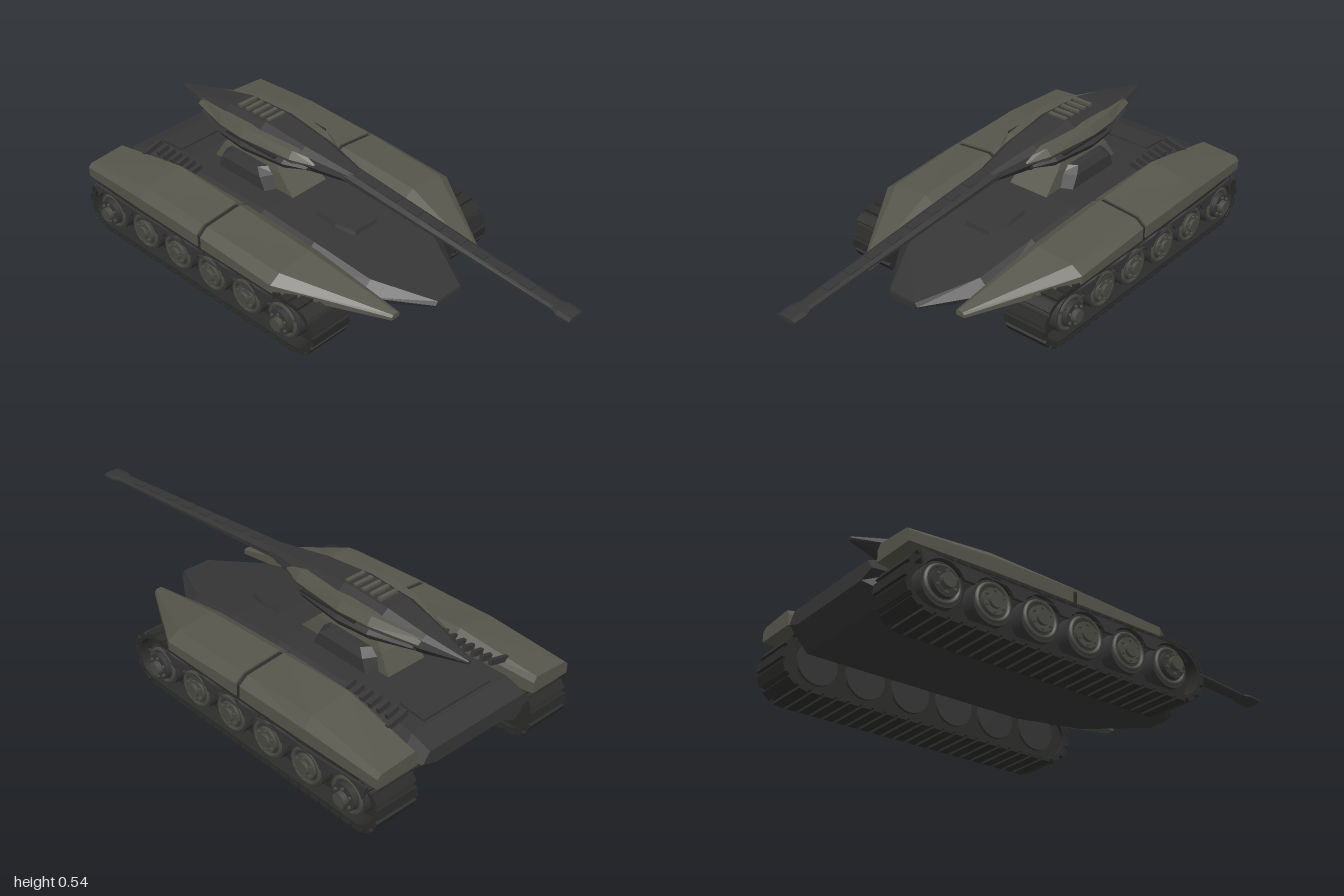
import * as THREE from 'three';

const mat = (name, color) => {
  const m = new THREE.MeshStandardMaterial({ color });
  m.name = name;
  return m;
};

export function createModel() {
  const tank = new THREE.Group();
  tank.name = 'tank';
  const olive = mat('olive armour', 0x57564c);
  const dark = mat('dark armour', 0x363636);
  const rubber = mat('track metal', 0x2c2c2b);
  const steel = mat('wheel grey', 0x4a4a44);

  const add = (name, geo, material, parent = tank) => {
    const mesh = new THREE.Mesh(geo, material);
    mesh.name = name;
    parent.add(mesh);
    return mesh;
  };
  const box = (name, size, pos, material, parent = tank) => {
    const m = add(name, new THREE.BoxGeometry(...size), material, parent);
    m.position.set(...pos);
    return m;
  };

  // Flat-shaded solid through closed rings of [x, y, z]; faces turned outwards
  const loft = (rings) => {
    const tris = [], n = rings[0].length;
    for (let i = 0; i < rings.length - 1; i++) {
      for (let j = 0; j < n; j++) {
        const k = (j + 1) % n, a = rings[i], b = rings[i + 1];
        tris.push([a[j], a[k], b[k]], [a[j], b[k], b[j]]);
      }
    }
    const last = rings[rings.length - 1];
    for (let j = 1; j < n - 1; j++) {
      tris.push([rings[0][0], rings[0][j + 1], rings[0][j]], [last[0], last[j], last[j + 1]]);
    }
    const o = new THREE.Vector3(...rings[0][0]);
    const v = (p) => new THREE.Vector3(...p).sub(o);
    const volume = tris.reduce((s, [a, b, c]) => s + v(a).dot(v(b).cross(v(c))), 0);
    if (volume < 0) tris.forEach((t) => t.reverse());
    const geo = new THREE.BufferGeometry();
    geo.setAttribute('position', new THREE.Float32BufferAttribute(tris.flat(2), 3));
    geo.computeVertexNormals();
    return geo;
  };
  // Symmetric ring from the points of its +x half
  const mirrored = (z, half) => [
    ...half.map(([x, y]) => [x, y, z]),
    ...half.slice().reverse().map(([x, y]) => [-x, y, z]),
  ];

  // Hull
  add('hull', loft([
    mirrored(0.47, [[0.05, 0.145], [0.07, 0.16], [0.06, 0.175]]),
    mirrored(0.25, [[0.2, 0.13], [0.22, 0.165], [0.17, 0.215]]),
    mirrored(0, [[0.27, 0.13], [0.28, 0.205], [0.2, 0.265]]),
    mirrored(-0.25, [[0.27, 0.13], [0.28, 0.225], [0.21, 0.29]]),
    mirrored(-0.7, [[0.27, 0.13], [0.28, 0.225], [0.21, 0.29]]),
    mirrored(-0.9, [[0.27, 0.13], [0.28, 0.205], [0.23, 0.275]]),
    mirrored(-0.98, [[0.2, 0.19], [0.26, 0.21], [0.23, 0.25]]),
  ]), dark);
  const hatchRing = (y, s) => [[-0.09, -0.11], [0.09, -0.11], [0.09, -0.01], [0.06, 0.07], [-0.06, 0.07], [-0.09, -0.01]]
    .map(([x, z]) => [x * s, y - z * 0.14, z * s]);
  add('frontHatch', loft([hatchRing(0.255, 1), hatchRing(0.277, 0.9)]), dark);
  const rearPanel = box('rearDeckPanel', [0.32, 0.01, 0.11], [0, 0.284, -0.83], dark);
  rearPanel.rotation.x = -0.08;
  box('noseLip', [0.11, 0.022, 0.02], [0, 0.158, 0.462], dark);

  // Turret body and its pointed tail
  const turretRing = (z, w, yb, yt) => {
    const h = yt - yb;
    return mirrored(z, [[0.6 * w, yb], [w, yb + h * 0.45], [0.85 * w, yt - h * 0.2], [0.5 * w, yt]]);
  };
  const turret = new THREE.Group();
  turret.name = 'turret';
  tank.add(turret);
  add('turretBody', loft([
    turretRing(0.02, 0.036, 0.438, 0.478), turretRing(-0.2, 0.085, 0.415, 0.51),
    turretRing(-0.4, 0.1, 0.405, 0.53), turretRing(-0.6, 0.095, 0.405, 0.523),
    turretRing(-0.76, 0.065, 0.42, 0.493), turretRing(-0.92, 0.008, 0.446, 0.459),
  ]), dark, turret);
  for (let i = 0; i < 5; i++) {
    box('roofLouver', [0.08, 0.012, 0.015], [0, 0.53, -0.4 - i * 0.038], olive, turret);
  }
  for (let i = 0; i < 5; i++) {
    box('frontLouver', [0.08, 0.008, 0.02], [0, 0.408 + i * 0.011, -0.2 + i * 0.012], dark, turret);
  }
  // Pedestal tapering up to the turret
  const rect = (y, x, z0, z1) => [[x, y, z0], [x, y, z1], [-x, y, z1], [-x, y, z0]];
  add('turretPedestal', loft([
    rect(0.28, 0.088, -0.22, -0.66), rect(0.36, 0.08, -0.3, -0.61), rect(0.415, 0.065, -0.36, -0.56),
  ]), olive, turret);

  // Barrel with raised sleeve blocks and muzzle
  const barrelY = (z) => 0.457 - 0.084 * z;
  const barrelRing = (z, w, h) => mirrored(z, [[w * 0.6, barrelY(z) - h], [w, barrelY(z) - h * 0.4],
    [w, barrelY(z) + h * 0.4], [w * 0.6, barrelY(z) + h]]);
  add('barrel', loft([barrelRing(-0.05, 0.04, 0.022), barrelRing(0.35, 0.036, 0.015), barrelRing(0.95, 0.028, 0.007)]), dark, turret);
  add('muzzle', loft([barrelRing(0.92, 0.03, 0.007), barrelRing(0.945, 0.04, 0.009), barrelRing(1, 0.038, 0.009)]), dark, turret);
  for (let i = 0; i < 8; i++) {
    const z = 0.1 + i * 0.1;
    const b = box('barrelBlock', [0.036, 0.008, 0.05], [0, barrelY(z) + 0.0195 - z * 0.0135, z], dark, turret);
    b.rotation.x = 0.09;
  }

  // Fender rings: inner bottom, inner top, peak, outer top, outer middle, outer bottom
  const fender = {
    tip: [0.42, [[0.205, 0.168], [0.205, 0.185], [0.215, 0.19], [0.235, 0.188], [0.242, 0.18], [0.242, 0.168]]],
    front: [0.05, [[0.225, 0.2], [0.228, 0.265], [0.27, 0.288], [0.42, 0.275], [0.465, 0.245], [0.465, 0.212]]],
    seamA: [-0.315, [[0.23, 0.21], [0.235, 0.29], [0.27, 0.308], [0.43, 0.293], [0.467, 0.265], [0.467, 0.215]]],
    seamB: [-0.335, [[0.23, 0.21], [0.235, 0.29], [0.27, 0.308], [0.43, 0.293], [0.467, 0.265], [0.467, 0.215]]],
    back: [-0.65, [[0.23, 0.21], [0.235, 0.292], [0.27, 0.325], [0.43, 0.305], [0.467, 0.27], [0.467, 0.218]]],
    tail: [-0.975, [[0.28, 0.22], [0.28, 0.262], [0.295, 0.282], [0.445, 0.272], [0.46, 0.258], [0.46, 0.22]]],
  };
  const wheelZ = [0.1, -0.09, -0.277, -0.465, -0.653, -0.845];

  // Scalloped strip hanging over the wheels, drawn along -z
  const skirtShape = new THREE.Shape();
  skirtShape.moveTo(-0.19, 0.206);
  wheelZ.forEach((z) => skirtShape.absarc(-z, 0.112, 0.084, Math.PI * 0.85, Math.PI * 0.15, true));
  skirtShape.lineTo(0.935, 0.206);
  const skirtGeo = new THREE.ExtrudeGeometry(skirtShape, { depth: 0.012, bevelEnabled: false, curveSegments: 8 });
  skirtGeo.rotateY(Math.PI / 2);

  // Closed track loop, drawn along -z
  const midZ = -0.365, halfRun = 0.51, axleY = 0.11;
  const stadium = (r, Type) => {
    const p = new Type();
    p.absarc(-midZ + halfRun, axleY, r, -Math.PI / 2, Math.PI / 2, false);
    p.absarc(-midZ - halfRun, axleY, r, Math.PI / 2, Math.PI * 1.5, false);
    p.closePath();
    return p;
  };
  const beltShape = stadium(0.1, THREE.Shape);
  beltShape.holes.push(stadium(0.086, THREE.Path));
  const extrudeX = (shape, depth) => new THREE.ExtrudeGeometry(shape, { depth, bevelEnabled: false, curveSegments: 12 })
    .rotateY(Math.PI / 2);
  const beltGeo = extrudeX(beltShape, 0.174);
  const coreGeo = extrudeX(stadium(0.087, THREE.Shape), 0.1);
  const disc = (r, d, sides = 20) => new THREE.CylinderGeometry(r, r, d, sides).rotateZ(Math.PI / 2);
  const rimGeo = new THREE.TorusGeometry(0.062, 0.008, 6, 24).rotateY(Math.PI / 2);

  for (const s of [1, -1]) {
    const side = s > 0 ? 'left' : 'right';
    const flip = (rings) => loft(rings.map((r) => r.map(([x, y, z]) => [x * s, y, z])));
    const ring = ([z, pts], drop = 0) => pts.map(([x, y]) => [x - drop * Math.sign(x - 0.35), y - drop, z]);
    add(side + 'FrontFender', flip([ring(fender.tip), ring(fender.front), ring(fender.seamA)]), olive);
    add(side + 'RearFender', flip([ring(fender.seamB), ring(fender.back), ring(fender.tail)]), olive);
    add(side + 'FenderSeam', flip([ring(fender.seamA, 0.006), ring(fender.seamB, 0.006)]), rubber);

    // Cooling fins beside the rear deck
    for (let i = 0; i < 7; i++) {
      const w = i === 0 ? 0.09 : 0.052;
      const fin = box(side + 'CoolingFin', [w, 0.022, 0.014], [s * (0.2 + w / 2), 0.305, -0.845 + i * 0.039], dark);
      fin.rotation.z = -s * 0.25;
    }

    // Turret side pods, belly cheeks and pedestal lobes
    const podRing = (z, x0, x1, y0, y1) => [[x0, y0, z], [x1 - 0.015, y0, z], [x1, (y0 + y1) / 2, z],
      [x1 - 0.02, y1, z], [x0, y1, z]];
    add(side + 'TurretPod', flip([
      podRing(-0.13, 0.04, 0.07, 0.456, 0.48), podRing(-0.22, 0.06, 0.11, 0.447, 0.502),
      podRing(-0.45, 0.07, 0.135, 0.445, 0.51), podRing(-0.58, 0.07, 0.122, 0.445, 0.506),
      podRing(-0.76, 0.04, 0.07, 0.45, 0.482),
    ]), olive, turret);
    add(side + 'TurretCheek', flip([
      podRing(-0.16, 0.04, 0.08, 0.435, 0.455), podRing(-0.25, 0.05, 0.118, 0.422, 0.468),
      podRing(-0.45, 0.05, 0.139, 0.418, 0.47), podRing(-0.58, 0.05, 0.126, 0.42, 0.468),
      podRing(-0.74, 0.04, 0.075, 0.432, 0.46),
    ]), dark, turret);
    box(side + 'PodSlot', [0.012, 0.01, 0.26], [s * 0.128, 0.469, -0.4], rubber, turret);
    const lobe = (y, x, z0, z1) => [[0.07, y, z0], [x, y, z0 - 0.03], [x, y, z1 + 0.03], [0.07, y, z1]];
    add(side + 'PedestalLobe', flip([
      lobe(0.28, 0.13, -0.3, -0.62), lobe(0.34, 0.128, -0.33, -0.6), lobe(0.365, 0.11, -0.36, -0.57),
    ]), dark, turret);

    // Track: belt, filled core and ribbed shoes
    const track = new THREE.Group();
    track.name = side + 'Track';
    tank.add(track);
    add('trackBelt', beltGeo, rubber, track).position.x = s * 0.371 - 0.087;
    add('trackCore', coreGeo, rubber, track).position.x = s * 0.35 - 0.05;
    const run = halfRun * 2, arc = Math.PI * 0.1, total = 2 * (run + arc), count = 54;
    for (let i = 0; i < count; i++) {
      let d = (i / count) * total;
      const back = d >= run + arc;
      if (back) d -= run + arc;
      const a = d > run ? (d - run) / 0.1 : 0;
      const dir = back ? -1 : 1;
      const z = dir * (Math.min(d, run) - halfRun + Math.sin(a) * 0.104);
      const y = dir * Math.cos(a) * 0.104;
      const shoe = box('trackShoe', [0.18, 0.012, 0.036], [s * 0.371, axleY + y, midZ + z], rubber, track);
      shoe.rotation.x = a;
    }
    add('outerSkirt', skirtGeo, dark, track).position.x = s * 0.462 - 0.006;
    add('innerSkirt', skirtGeo, dark, track).position.x = s * 0.28 - 0.006;

    // Road wheels, with bolted drive hubs at both ends
    wheelZ.forEach((z, i) => {
      const end = i === 0 || i === wheelZ.length - 1;
      const wheel = new THREE.Group();
      wheel.name = side + 'Wheel';
      wheel.position.set(s * 0.371, 0.115, z);
      tank.add(wheel);
      add('tyre', disc(0.078, 0.165, 24), dark, wheel);
      add('rim', rimGeo, steel, wheel).position.x = s * 0.084;
      add('wheelDisc', disc(0.046, 0.02), steel, wheel).position.x = s * 0.085;
      add('hub', disc(0.026, 0.03, 12), steel, wheel).position.x = s * (end ? 0.111 : 0.092);
      if (end) add('hubFlange', disc(0.05, 0.02), dark, wheel).position.x = s * 0.096;
      for (let k = 0; k < 6; k++) {
        const t = (k / 6) * Math.PI * 2;
        add('bolt', disc(0.006, 0.016, 6), steel, wheel)
          .position.set(s * (end ? 0.105 : 0.095), Math.cos(t) * 0.037, Math.sin(t) * 0.037);
      }
    });
  }
  return tank;
}
